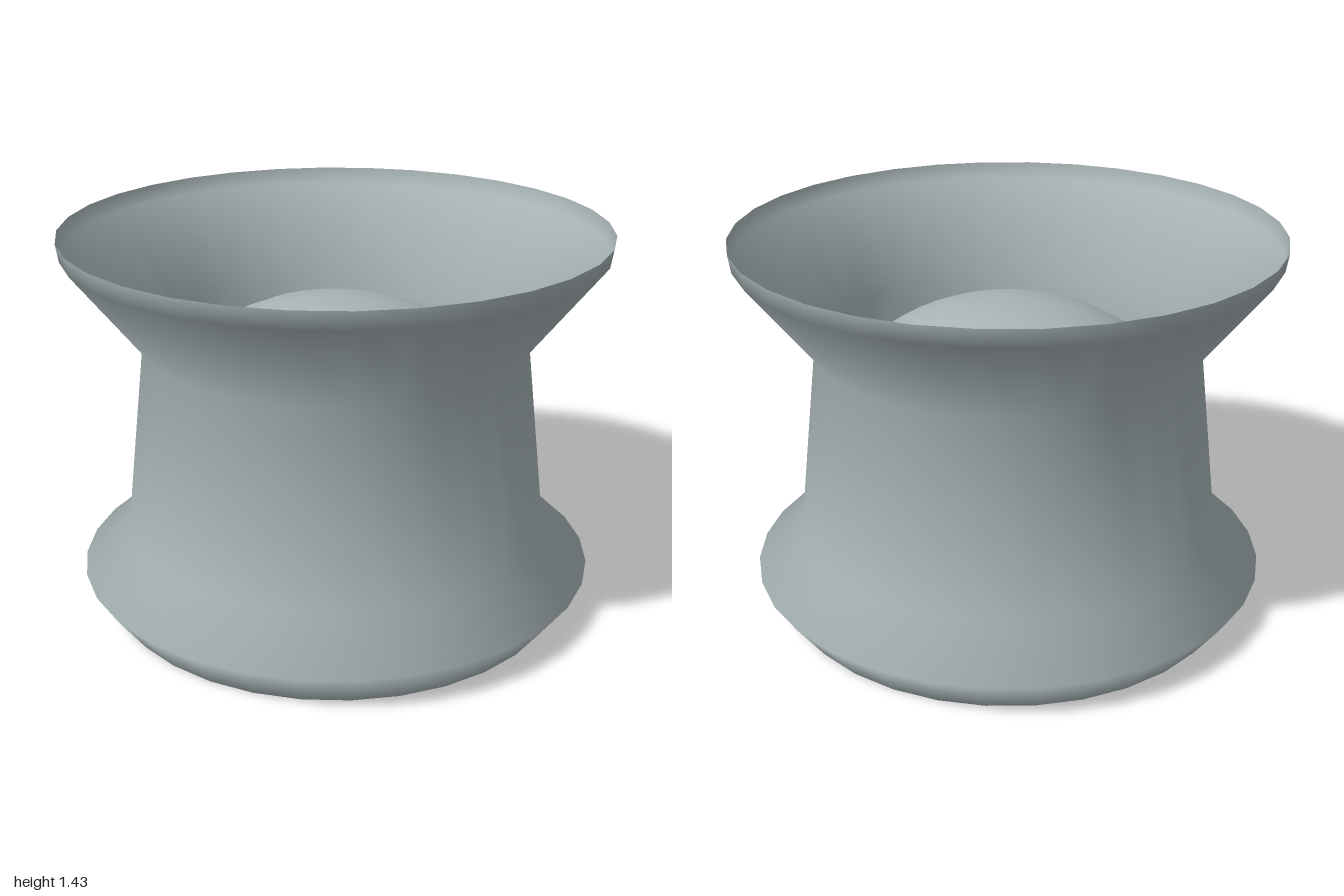
import * as THREE from 'three';

const material = (name, color, side = THREE.FrontSide) => {
  const m = new THREE.MeshStandardMaterial({ color, side });
  m.name = name;
  return m;
};

// Revolve a list of [radius, height] pairs around the y axis
const lathe = (profile, segments) =>
  new THREE.LatheGeometry(profile.map(([r, y]) => new THREE.Vector2(r, y)), segments);

export function createModel() {
  const group = new THREE.Group();
  const grey = material('blue grey', 0xa8b4b6, THREE.DoubleSide);
  const brown = material('dull brown', 0x7a675f, THREE.DoubleSide);

  const add = (name, geometry, mat) => {
    const mesh = new THREE.Mesh(geometry, mat);
    mesh.name = name;
    group.add(mesh);
    return mesh;
  };

  // Thin open shell: flared foot, tapered waist, wide upper rim
  add('outerShell', lathe([
    [0.87, 0], [0.975, 0.145], [0.8, 0.295],
    [0.715, 1.015], [0.99, 1.37], [1, 1.435],
  ], 32), grey);

  // Flattened tank inside the shell
  const tank = add('tank', new THREE.SphereGeometry(0.69, 24, 20), grey);
  tank.scale.y = 0.5 / 0.69;
  tank.position.y = 0.66;

  // Open nozzle under the tank, with a short collar and a lip
  add('nozzle', lathe([
    [0.21, 0.185], [0.2, 0.15], [0.22, 0.13],
    [0.283, 0.05], [0.295, 0.045], [0.295, 0.03],
  ], 24), brown);

  return group;
}
